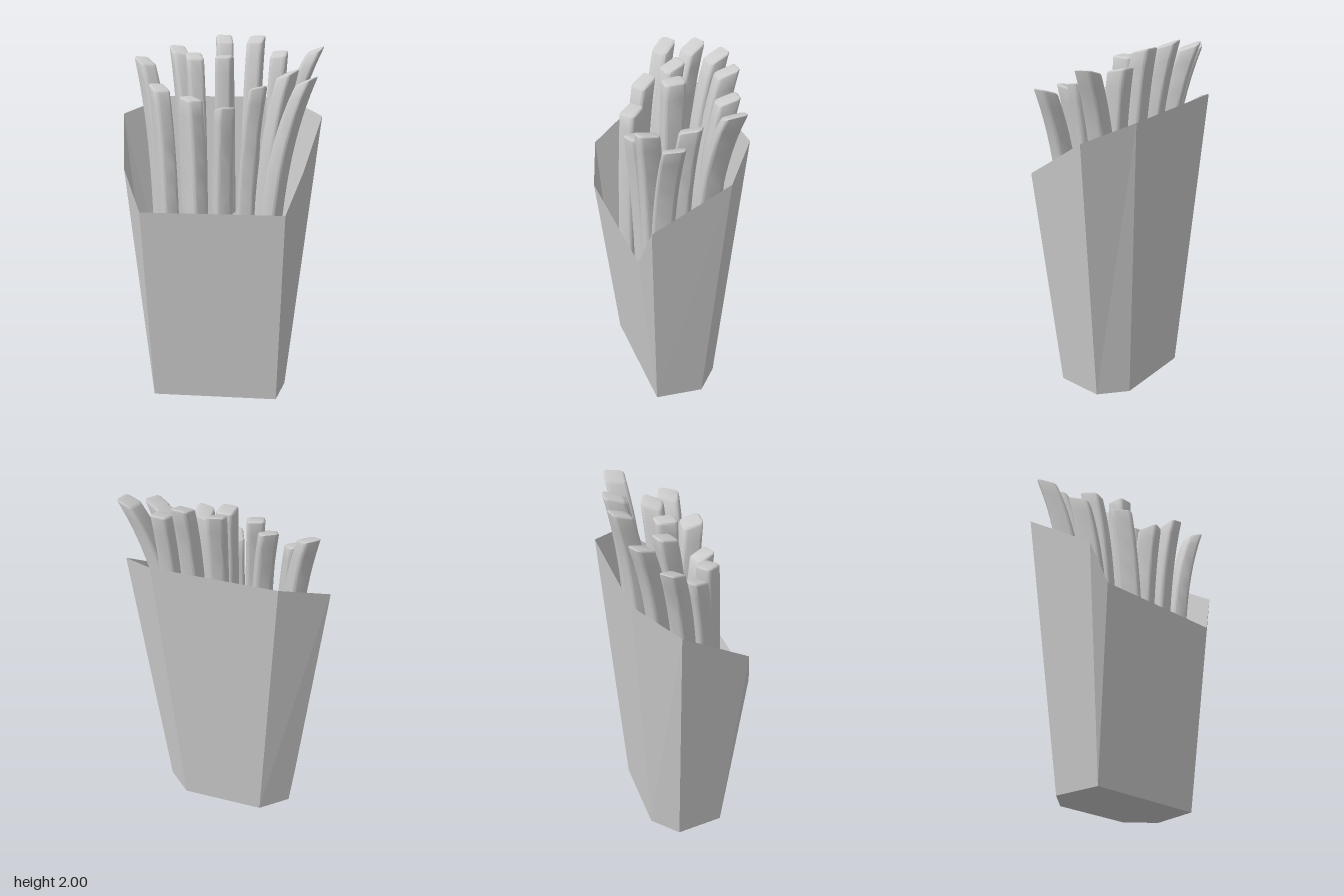
import * as THREE from 'three';
import { mergeVertices, toCreasedNormals } from 'three/addons/utils/BufferGeometryUtils.js';

const grey = new THREE.MeshStandardMaterial({ color: 0xcccccc, side: THREE.DoubleSide });
grey.name = 'plain grey';

// Carton: faceted open shell with a rim that climbs from front to back
function makeCarton() {
  // each corner: rim x, y, z, then floor x, z
  const corners = [
    [-0.40, 1.07, 0.325, -0.35, 0.21], [0.39, 1.07, 0.325, 0.34, 0.21],
    [0.48, 1.30, 0.28, 0.34, 0.21], [0.56, 1.56, -0.12, 0.37, -0.06],
    [0.34, 1.65, -0.31, 0.23, -0.19], [-0.35, 1.65, -0.31, -0.24, -0.19],
    [-0.575, 1.56, -0.12, -0.385, -0.06], [-0.49, 1.30, 0.28, -0.35, 0.21],
  ];
  const n = corners.length;
  const top = corners.map(c => [c[0], c[1], c[2]]);
  const low = corners.map(c => [c[3], 0, c[4]]);
  const pts = [];
  for (let i = 0; i < n; i++) {
    const j = (i + 1) % n;
    if (low[i][0] !== low[j][0] || low[i][2] !== low[j][2]) pts.push(low[i], low[j], top[j]);
    pts.push(low[i], top[j], top[i]); // wall panel
    pts.push([0, 0, 0], low[j], low[i]); // floor slice
  }
  const geo = new THREE.BufferGeometry();
  geo.setAttribute('position', new THREE.Float32BufferAttribute(pts.flat(), 3));
  geo.computeVertexNormals();
  const mesh = new THREE.Mesh(geo, grey);
  mesh.name = 'carton';
  return mesh;
}

// Rounded rectangular cross-section of a fry
function frySection(w, d, r) {
  const s = new THREE.Shape();
  const x = w / 2, y = d / 2;
  s.absarc(x - r, y - r, r, 0, Math.PI / 2);
  s.absarc(-x + r, y - r, r, Math.PI / 2, Math.PI);
  s.absarc(-x + r, -y + r, r, Math.PI, Math.PI * 1.5);
  s.absarc(x - r, -y + r, r, Math.PI * 1.5, Math.PI * 2);
  s.closePath();
  return s;
}

// Fry: a rounded stick that bends from its base towards its tip
function makeFry([tx, ty, tz, bx, bz, yaw]) {
  const length = 1.0, bevel = 0.012;
  let geo = new THREE.ExtrudeGeometry(frySection(0.07, 0.095, 0.012), {
    depth: length - 2 * bevel, steps: 12, curveSegments: 3,
    bevelEnabled: true, bevelThickness: bevel, bevelSize: bevel, bevelSegments: 3,
  });
  geo.translate(0, 0, bevel).rotateX(-Math.PI / 2).rotateY(yaw);
  const lean = new THREE.Vector2(tx - bx, tz - bz);
  const slope = Math.min(0.4, lean.length() * 3);
  lean.normalize();
  const p = geo.attributes.position;
  for (let i = 0; i < p.count; i++) {
    const x = p.getX(i), y = p.getY(i), z = p.getZ(i);
    const t = THREE.MathUtils.clamp(y / length, 0, 1), k = t * t * t * 0.6 + t * 0.4;
    const lift = (x * lean.x + z * lean.y) * slope * t ** 3; // slanted tip
    p.setXYZ(i, x + bx + (tx - bx) * k, ty - length + y + lift - 0.015 * t, z + bz + (tz - bz) * k);
  }
  geo.deleteAttribute('uv');
  geo.deleteAttribute('normal');
  geo = toCreasedNormals(mergeVertices(geo, 1e-4), 0.8);
  const mesh = new THREE.Mesh(geo, grey);
  mesh.name = 'fry';
  return mesh;
}

export function createModel() {
  const model = new THREE.Group();
  model.name = 'boxOfFries';
  model.add(makeCarton());

  // tip x, y, z, base x, z, turn
  const fries = [
    [-0.45, 1.88, -0.13, -0.32, 0.00, 0.65],
    [-0.27, 1.94, -0.23, -0.18, -0.08, 0.42],
    [-0.01, 2.00, -0.26, 0.02, -0.13, 0.2],
    [0.175, 2.00, -0.24, 0.15, -0.13, -0.08],
    [0.31, 1.92, -0.19, 0.28, -0.10, -0.05],
    [0.515, 1.94, -0.14, 0.28, -0.08, -0.12],
    [-0.155, 1.91, -0.07, -0.12, 0.02, 0.3],
    [0.02, 1.91, -0.01, 0.02, 0.01, 0],
    [-0.34, 1.74, 0.03, -0.27, 0.12, 0.55],
    [-0.14, 1.69, 0.17, -0.10, 0.21, 0.68],
    [0.05, 1.64, 0.21, 0.02, 0.15, 0.4],
    [0.23, 1.75, 0.21, 0.15, 0.15, 0.05],
    [0.375, 1.82, 0.03, 0.25, 0.06, -0.5],
    [0.485, 1.79, 0.16, 0.28, 0.16, -0.4],
  ];
  const bunch = new THREE.Group();
  bunch.name = 'fries';
  fries.forEach(f => bunch.add(makeFry(f)));
  model.add(bunch);
  return model;
}
